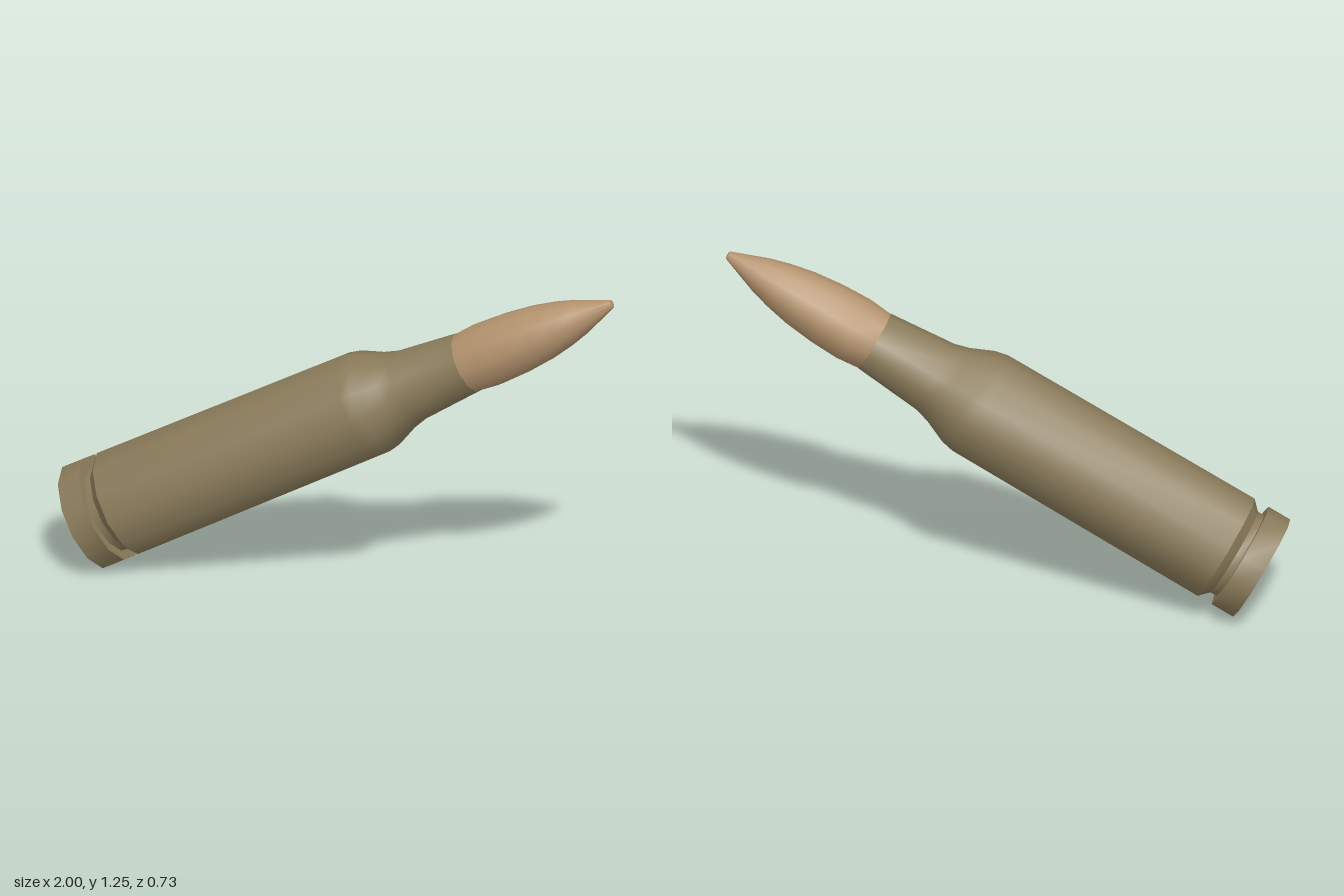
import * as THREE from 'three';
import { toCreasedNormals } from 'three/addons/utils/BufferGeometryUtils.js';

const SIDES = 12;

// Turned part from [radius, distance along axis] pairs, sharp only at real edges
function turned(name, profile, material) {
  const points = profile.map(([r, s]) => new THREE.Vector2(r, s));
  const geometry = toCreasedNormals(new THREE.LatheGeometry(points, SIDES), 0.6);
  const mesh = new THREE.Mesh(geometry, material);
  mesh.name = name;
  return mesh;
}

export function createModel() {
  const brass = new THREE.MeshStandardMaterial({ name: 'olive brass', color: 0x8a7b5a });
  const copper = new THREE.MeshStandardMaterial({ name: 'copper', color: 0xb4936e });
  const steel = new THREE.MeshStandardMaterial({ name: 'grey steel', color: 0x7c7c7e });

  const cartridge = new THREE.Group();
  cartridge.name = 'cartridge';

  // Casing: base face, rim, extractor groove, body, shoulder, neck and lip
  cartridge.add(turned('casing', [
    [0.1, 0.008], [0.1, 0], [0.202, 0], [0.202, 0.09],
    [0.168, 0.09], [0.168, 0.115], [0.202, 0.148],
    [0.198, 1.172], [0.188, 1.22], [0.151, 1.305], [0.136, 1.36],
    [0.114, 1.612], [0.108, 1.612],
  ], brass));

  // Primer disc, set slightly into the base
  cartridge.add(turned('primer', [[0, 0.008], [0.1, 0.008]], steel));

  // Bullet with a small flat tip
  cartridge.add(turned('bullet', [
    [0.112, 1.605], [0.121, 1.7], [0.117, 1.81], [0.105, 1.92],
    [0.087, 2.01], [0.066, 2.085], [0.015, 2.223], [0, 2.226],
  ], copper));

  // Tilt: axis runs from the base centre to the tip, one side corner points down
  const base = new THREE.Vector3(-0.9, 0.178, 0.165);
  const axis = new THREE.Vector3(0.99, 1.242, -0.337).sub(base).normalize();
  const down = new THREE.Vector3(0, -1, 0).addScaledVector(axis, axis.y).normalize();
  const side = new THREE.Vector3().crossVectors(axis, down);
  cartridge.quaternion.setFromRotationMatrix(new THREE.Matrix4().makeBasis(side, axis, down));
  cartridge.position.copy(base);

  const model = new THREE.Group();
  model.name = 'model';
  model.add(cartridge);
  return model;
}
